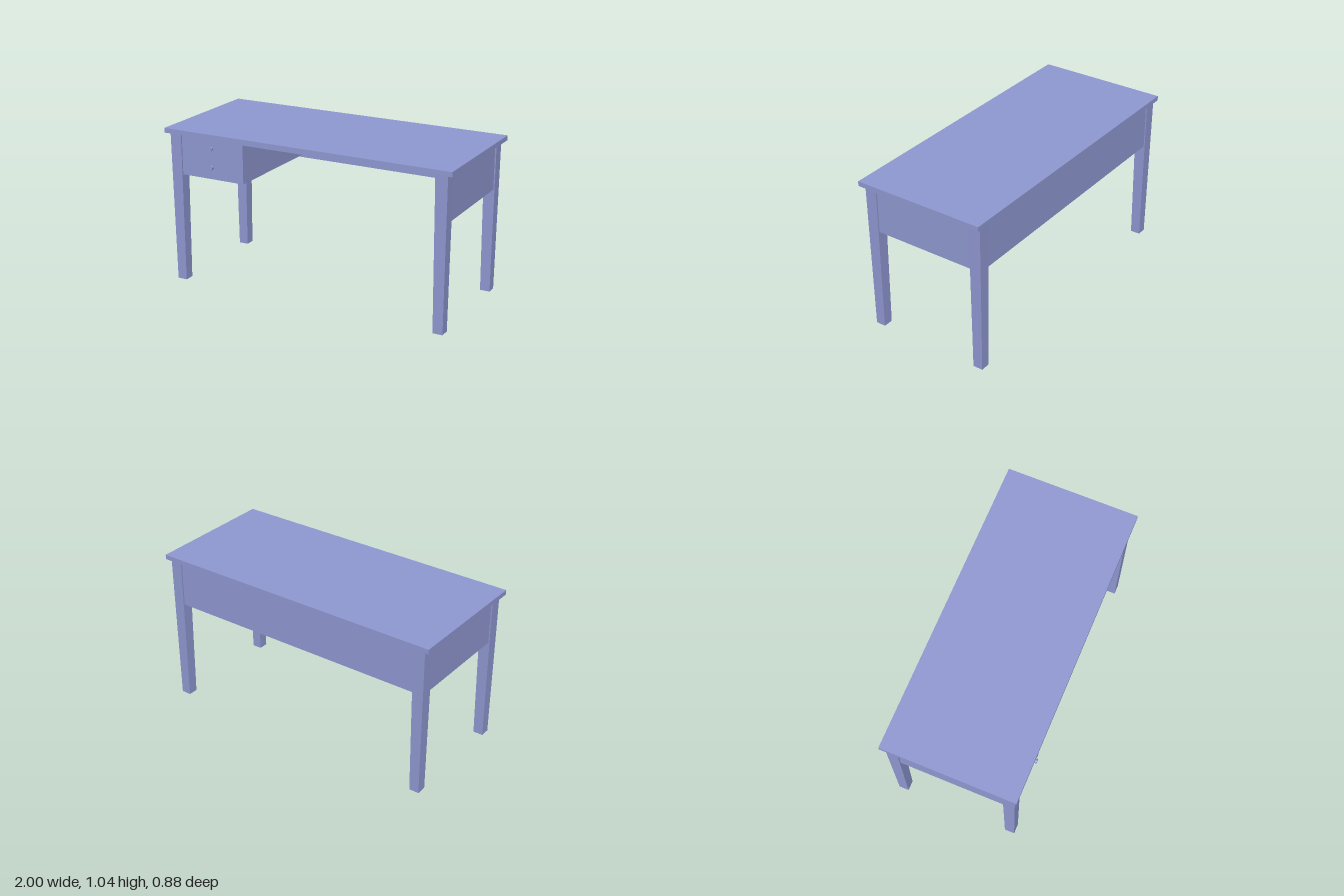
import * as THREE from 'three';

export function createModel() {
  const group = new THREE.Group();
  const mat = new THREE.MeshStandardMaterial({ color: 0x8f98d1 });

  const add = (name, geometry) => {
    const mesh = new THREE.Mesh(geometry, mat);
    mesh.name = name;
    group.add(mesh);
    return mesh;
  };
  // Box given by its lower and upper corner
  const box = (name, [x0, y0, z0], [x1, y1, z1]) =>
    add(name, new THREE.BoxGeometry(x1 - x0, y1 - y0, z1 - z0))
      .position.set((x0 + x1) / 2, (y0 + y1) / 2, (z0 + z1) / 2);

  const under = 1.007, apronY = 0.7, t = 0.02, recess = 0.009;
  const left = 0.925, right = -0.928, front = 0.377, back = -0.384, half = 0.04;

  // Table top
  box('tableTop', [-1, under, -0.439], [1, 1.038, 0.439]);

  // Square legs tapering towards the floor
  const leg = (name, x, z) => {
    const g = new THREE.BoxGeometry(half * 2, under, half * 2);
    const p = g.attributes.position;
    for (let i = 0; i < p.count; i++) {
      const s = p.getY(i) < 0 ? 0.82 : 1;
      p.setXYZ(i, p.getX(i) * s, p.getY(i), p.getZ(i) * s);
    }
    g.computeVertexNormals();
    add(name, g).position.set(x, under / 2, z);
  };
  leg('frontLeftLeg', left, front);
  leg('frontRightLeg', right, front);
  leg('backLeftLeg', left, back);
  leg('backRightLeg', right, back);

  // Aprons between the legs, set back a little from their outer faces
  const xl = left + half - recess, xr = right - half + recess, zb = back - half + recess;
  box('leftApron', [xl - t, apronY, back + half], [xl, under, front - half]);
  box('rightApron', [xr, apronY, back + half], [xr + t, under, front - half]);
  box('backApron', [right + half, apronY, zb], [left - half, under, zb + t]);

  // Drawer box and the thin rail over the knee space
  const face = front + half - recess, drawerX = -0.43;
  box('drawer', [right + half, 0.735, zb + t], [drawerX, under, face]);
  box('frontRail', [drawerX, 0.991, face - t], [left - half, under, face]);

  // Drawer knobs: a short stem with a flat disc head
  for (const [name, y] of [['upperKnob', 0.94], ['lowerKnob', 0.815]]) {
    for (const [part, r, z0, z1] of [['Stem', 0.011, face, 0.426], ['Head', 0.0155, 0.426, 0.435]]) {
      const mesh = add(name + part, new THREE.CylinderGeometry(r, r, z1 - z0, 20));
      mesh.rotation.x = Math.PI / 2;
      mesh.position.set(-0.66, y, (z0 + z1) / 2);
    }
  }
  return group;
}
